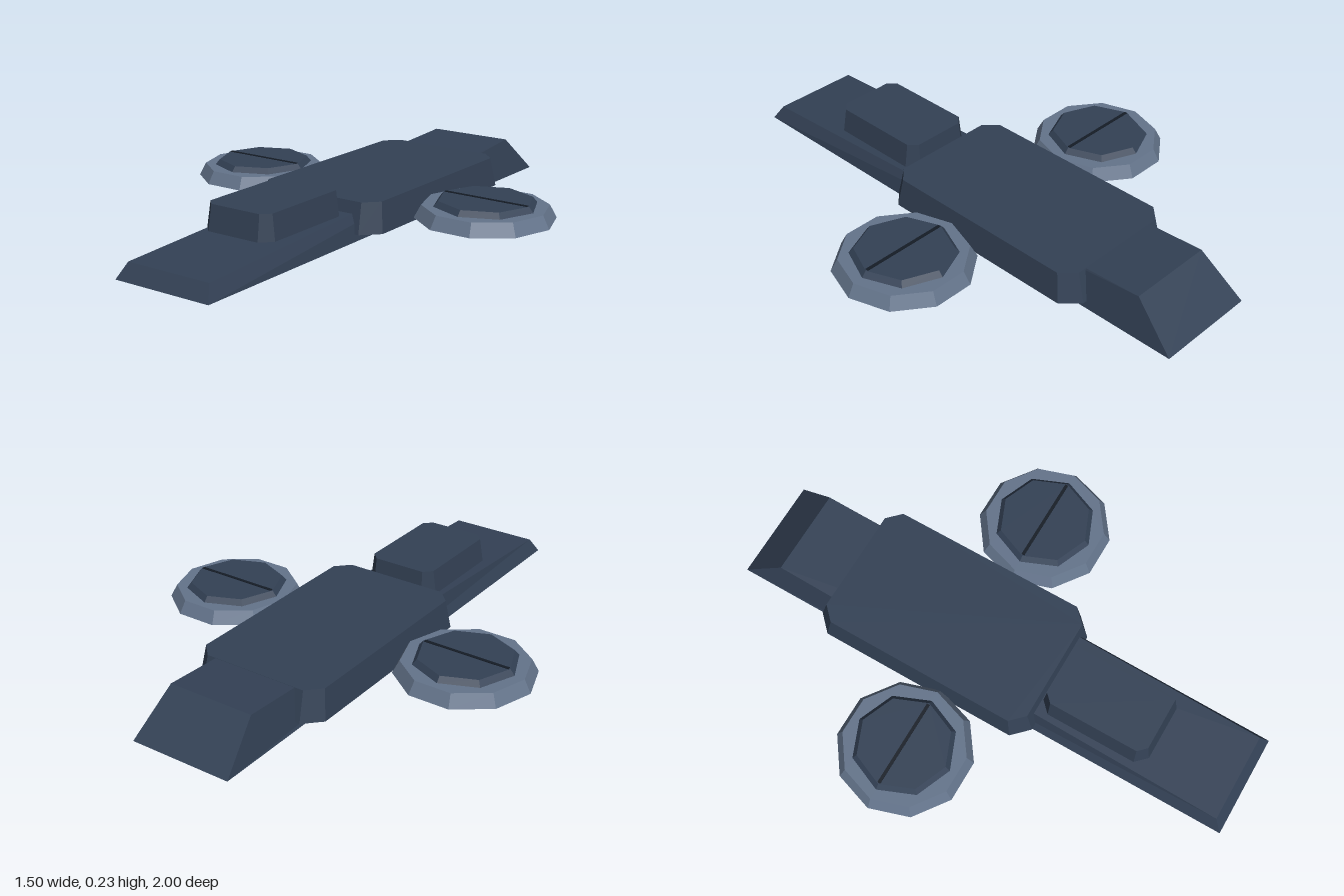
import * as THREE from 'three';

const material = (name, color) => {
  const m = new THREE.MeshStandardMaterial({ color, flatShading: true, side: THREE.DoubleSide });
  m.name = name;
  return m;
};

// Shell with side walls and a roof, open underneath. Both rings run the same way round.
function shell(name, lower, upper, mat) {
  const n = lower.length;
  const pos = [...lower, ...upper].flat();
  const index = [];
  for (let i = 0; i < n; i++) {
    const j = (i + 1) % n;
    index.push(i, j, n + j, i, n + j, n + i);
    if (i > 0 && i < n - 1) index.push(n, n + i, n + i + 1);
  }
  let geo = new THREE.BufferGeometry();
  geo.setAttribute('position', new THREE.Float32BufferAttribute(pos, 3));
  geo.setIndex(index);
  geo = geo.toNonIndexed();
  geo.computeVertexNormals();
  const mesh = new THREE.Mesh(geo, mat);
  mesh.name = name;
  return mesh;
}

// Rectangle with cut corners, counter-clockwise seen from above
const cutRect = (x, z0, z1, y, c) => [
  [x - c, y, z1], [x, y, z1 - c], [x, y, z0 + c], [x - c, y, z0],
  [-x + c, y, z0], [-x, y, z0 + c], [-x, y, z1 - c], [-x + c, y, z1],
];

// Regular polygon with a corner on +x
const polygon = (sides, r, y) => Array.from({ length: sides }, (_, i) => {
  const a = (i / sides) * Math.PI * 2;
  return [Math.cos(a) * r, y, -Math.sin(a) * r];
});

export function createModel() {
  const hullBlue = material('dark slate blue', 0x334155);
  const podBlue = material('light slate blue', 0x64748b);
  const slitDark = material('slit black blue', 0x151c26);
  const missileGrey = material('missile grey', 0x686d72);
  const model = new THREE.Group();
  model.name = 'aircraft';

  // Long wedge hull, rising to the back
  model.add(shell('hull',
    [[0.195, 0.055, 1], [0.195, 0.055, -1], [-0.195, 0.055, -1], [-0.195, 0.055, 1]],
    [[0.17, 0.11, 0.965], [0.165, 0.2, -0.84], [-0.165, 0.2, -0.84], [-0.17, 0.11, 0.965]],
    hullBlue));

  // Wide middle body and raised cabin
  model.add(shell('midBody',
    cutRect(0.265, -0.65, 0.245, 0.08, 0.06), cutRect(0.25, -0.62, 0.22, 0.19, 0.05), hullBlue));
  model.add(shell('cabin',
    cutRect(0.145, 0.233, 0.66, 0.144, 0.04), cutRect(0.132, 0.243, 0.645, 0.235, 0.03), hullBlue));

  for (const side of [1, -1]) {
    // Lift fan pod
    const pod = new THREE.Group();
    pod.name = side > 0 ? 'leftFanPod' : 'rightFanPod';
    pod.position.set(side * 0.5, 0, -0.105);
    pod.add(shell('podRing', polygon(10, 0.25, 0.11), polygon(10, 0.225, 0.157), podBlue));
    pod.add(shell('fanCover', polygon(8, 0.187, 0.158), polygon(8, 0.17, 0.178), hullBlue));
    const slit = new THREE.Mesh(new THREE.BoxGeometry(0.33, 0.004, 0.012), slitDark);
    slit.name = 'fanSlit';
    slit.position.y = 0.178;
    pod.add(slit);
    model.add(pod);

    // Missile slung under the nose
    const missile = new THREE.Group();
    missile.name = side > 0 ? 'leftMissile' : 'rightMissile';
    missile.position.set(side * 0.03, 0.022, 0);
    const tube = new THREE.Mesh(new THREE.CylinderGeometry(0.022, 0.022, 0.235, 6), missileGrey);
    tube.name = 'missileTube';
    tube.rotation.x = Math.PI / 2;
    tube.position.z = 0.4025;
    const nose = new THREE.Mesh(new THREE.ConeGeometry(0.022, 0.045, 6), hullBlue);
    nose.name = 'missileNose';
    nose.rotation.x = Math.PI / 2;
    nose.position.z = 0.5425;
    missile.add(tube, nose);
    model.add(missile);
  }
  return model;
}
